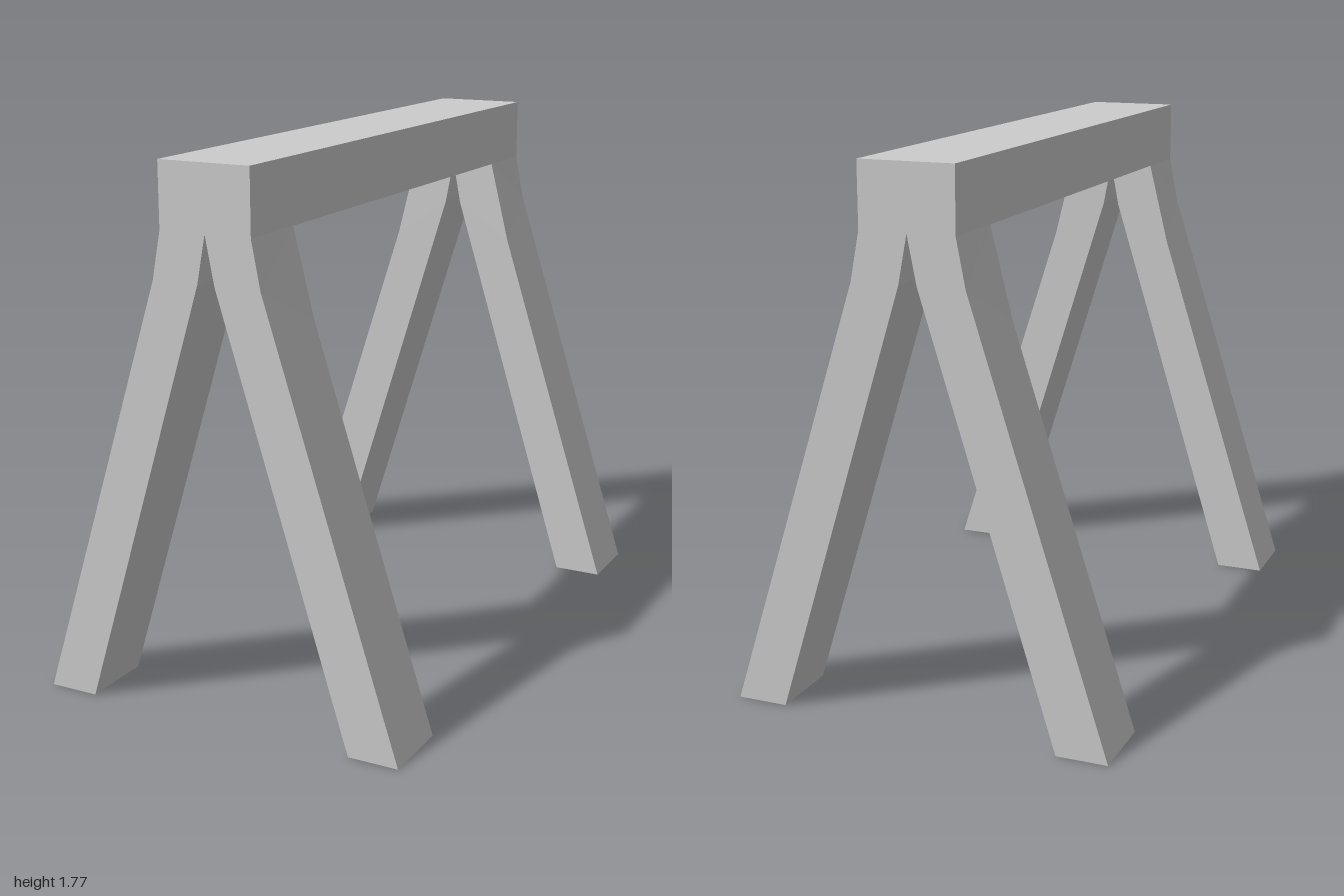
import * as THREE from 'three';

const material = new THREE.MeshStandardMaterial({ color: 0xcccccc, flatShading: true });
const TOP = 1.775, UNDER = 1.565, HALF = 0.157, IN = 0.755;

// Cross-sections from foot to beam: outer front, outer back, inner back, inner front
const sections = [
  [[0.637, 0, 1], [0.637, 0, IN], [0.468, 0, IN], [0.468, 0, 1]],
  [[0.187, 1.41, 1], [0.228, 1.28, IN], [0.03, 1.41, IN], [0.03, 1.41, 1]],
  [[HALF, UNDER, 1], [HALF, UNDER, IN], [0, UNDER, IN], [0, UNDER, 1]],
];

// Splayed leg lofted through the sections, mirrored by the signs sx and sz
function legGeometry(sx, sz) {
  const positions = [];
  const quad = (a, b, c, d) => {
    const corners = sx * sz > 0 ? [a, b, c, a, c, d] : [a, c, b, a, d, c];
    for (const [x, y, z] of corners) positions.push(x * sx, y, z * sz);
  };
  for (let r = 0; r < sections.length - 1; r++) {
    const low = sections[r], high = sections[r + 1];
    for (let i = 0; i < 4; i++) {
      const j = (i + 1) % 4;
      quad(low[i], low[j], high[j], high[i]);
    }
  }
  const [a, b, c, d] = sections[0];
  quad(a, d, c, b); // sole
  const geometry = new THREE.BufferGeometry();
  geometry.setAttribute('position', new THREE.Float32BufferAttribute(positions, 3));
  geometry.computeVertexNormals();
  return geometry;
}

export function createModel() {
  const group = new THREE.Group();
  group.name = 'sawhorse';

  // Top beam
  const beam = new THREE.Mesh(new THREE.BoxGeometry(HALF * 2, TOP - UNDER, 2), material);
  beam.position.y = (TOP + UNDER) / 2;
  beam.name = 'topBeam';
  group.add(beam);

  // Four legs
  for (const sz of [1, -1]) {
    for (const sx of [1, -1]) {
      const leg = new THREE.Mesh(legGeometry(sx, sz), material);
      leg.name = (sz > 0 ? 'front' : 'back') + (sx > 0 ? 'Left' : 'Right') + 'Leg';
      group.add(leg);
    }
  }
  return group;
}
